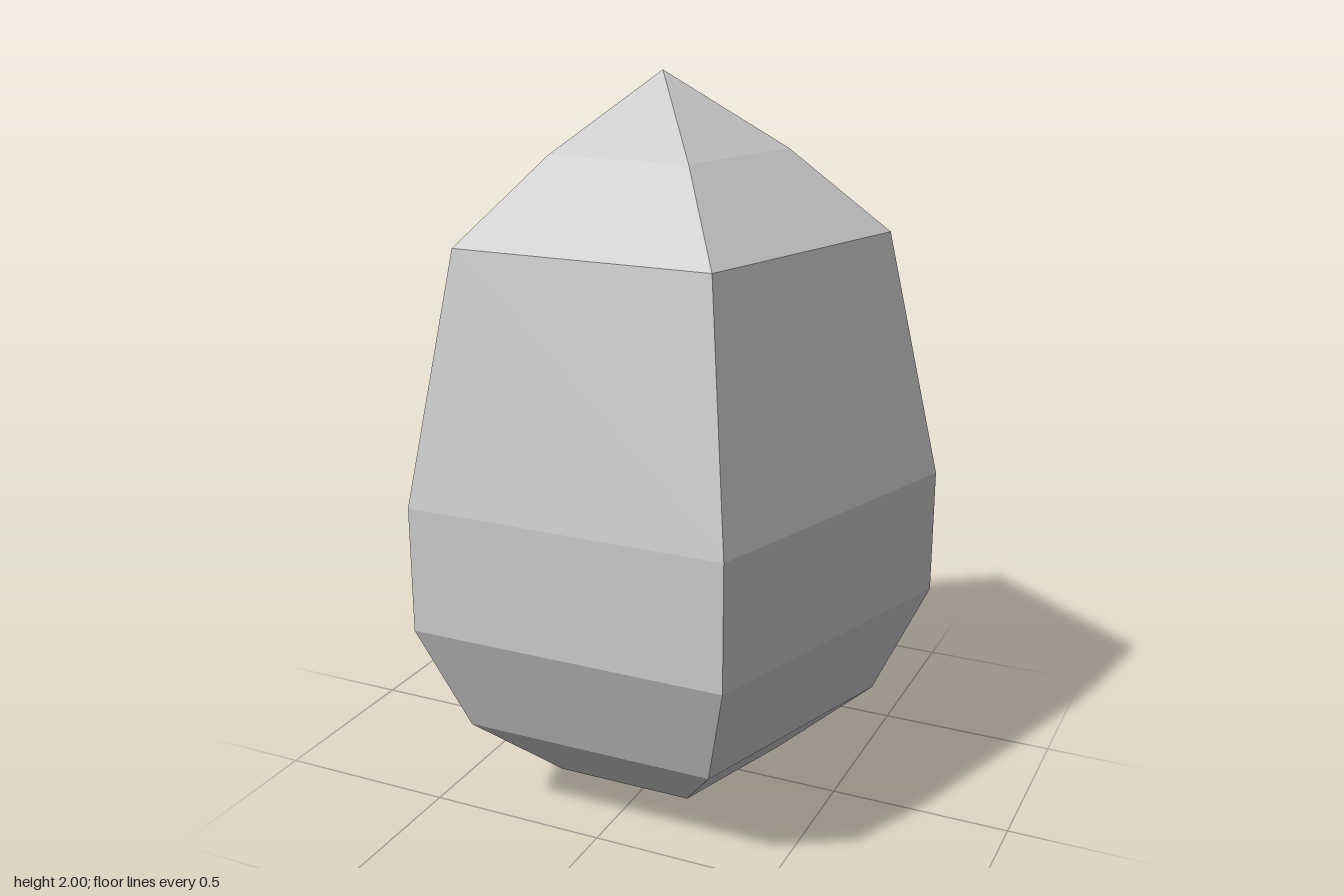
import * as THREE from 'three';

export function createModel() {
  const group = new THREE.Group();
  group.name = 'facetedEgg';

  const stone = new THREE.MeshStandardMaterial({ color: 0xcccccc, flatShading: true });
  stone.name = 'pale grey';

  // Egg profile from bottom to top: [radius, height]
  const profile = [
    [0, 0], [0.328, 0.08], [0.594, 0.29], [0.742, 0.6],
    [0.742, 0.94], [0.594, 1.595], [0.328, 1.805], [0, 2],
  ].map(([r, y]) => new THREE.Vector2(r, y));

  // Five-sided body with one corner at the back and a flat face in front
  const egg = new THREE.Mesh(new THREE.LatheGeometry(profile, 5, Math.PI), stone);
  egg.name = 'eggBody';
  egg.position.z = 0.07;
  group.add(egg);

  return group;
}
